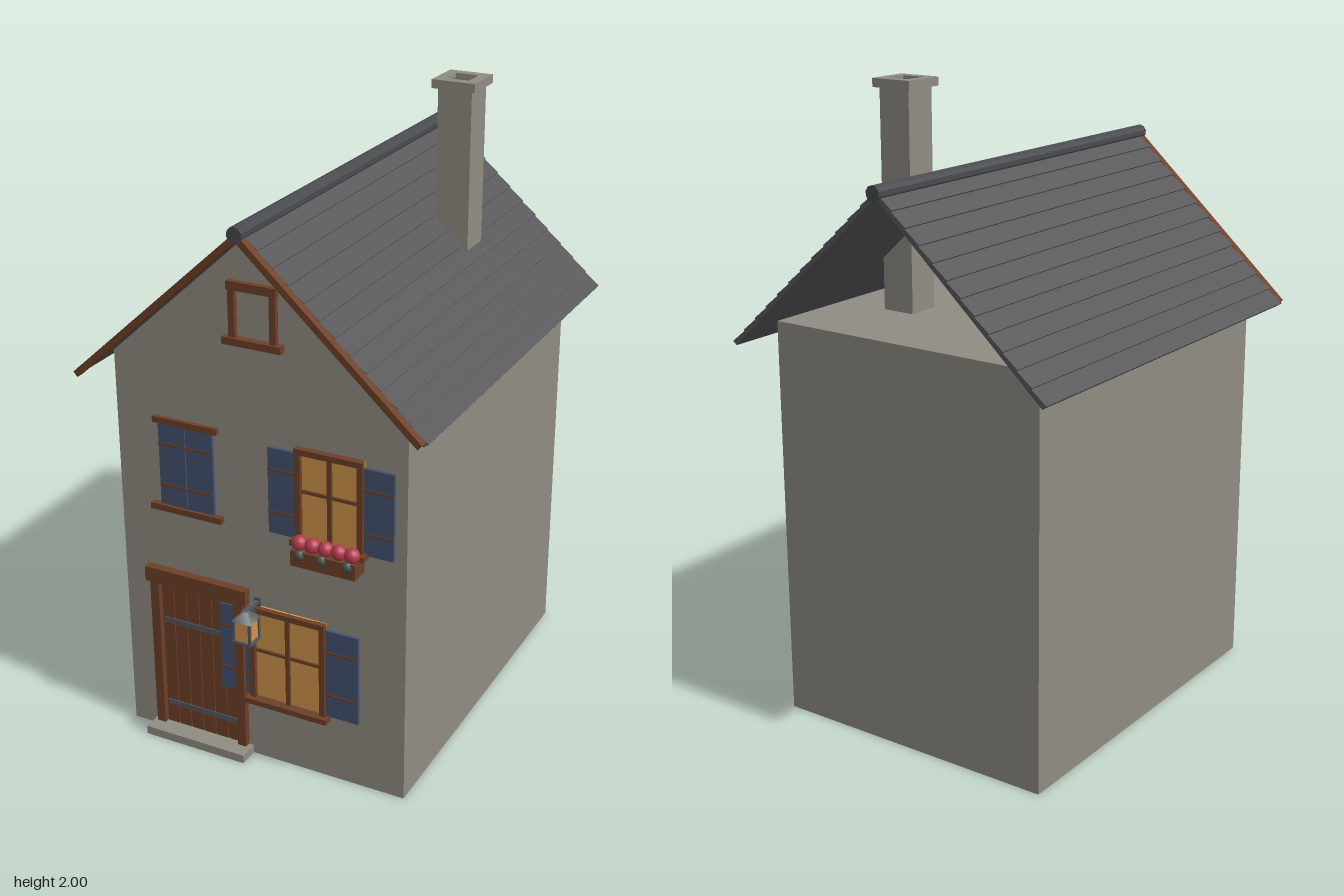
import * as THREE from 'three';

const mat = (name, color) => Object.assign(new THREE.MeshStandardMaterial({ color }), { name });
const stone = mat('stone', 0x8f8c82);
const slate = mat('slate', 0x58585b);
const wood = mat('wood', 0x6e4028);
const blue = mat('shutter blue', 0x445270);
const glow = mat('lit glass', 0xd0954a);
const metal = mat('iron', 0x55585c);
const red = mat('petal red', 0xb23a4c);
const leaf = mat('leaf', 0x4a5148);
const ridgeMat = mat('ridge slate', 0x4a4b4e);
ridgeMat.flatShading = true;

const FRONT = 0.6; // front wall plane

function add(parent, name, geo, material, x = 0, y = 0, z = 0) {
  const m = new THREE.Mesh(geo, material);
  m.name = name;
  m.position.set(x, y, z);
  parent.add(m);
  return m;
}

// Box given by its extents
function box(parent, name, material, x0, x1, y0, y1, z0, z1) {
  return add(parent, name, new THREE.BoxGeometry(x1 - x0, y1 - y0, z1 - z0), material,
    (x0 + x1) / 2, (y0 + y1) / 2, (z0 + z1) / 2);
}

// Box standing on the front wall with the given projection
const onWall = (p, name, m, x0, x1, y0, y1, depth, from = -0.005) =>
  box(p, name, m, x0, x1, y0, y1, FRONT + from, FRONT + depth);

function group(parent, name) {
  const g = new THREE.Group();
  g.name = name;
  parent.add(g);
  return g;
}

// Shutter leaf with two battens
function shutter(p, x0, x1, y0, y1) {
  onWall(p, 'shutter', blue, x0, x1, y0, y1, 0.01);
  for (const t of [0.25, 0.75]) {
    const y = y0 + (y1 - y0) * t;
    onWall(p, 'shutterBatten', wood, x0, x1, y - 0.004, y + 0.004, 0.012, 0.008);
  }
}

// Lit window: pane, frame, glazing bars and sill
function litWindow(p, name, x0, x1, y0, y1) {
  const g = group(p, name), w = 0.018, cx = (x0 + x1) / 2, cy = (y0 + y1) / 2;
  onWall(g, 'pane', glow, x0, x1, y0, y1, 0.006);
  onWall(g, 'leftStile', wood, x0, x0 + w, y0, y1, 0.02);
  onWall(g, 'rightStile', wood, x1 - w, x1, y0, y1, 0.02);
  onWall(g, 'headRail', wood, x0, x1, y1 - w, y1, 0.022);
  onWall(g, 'uprightBar', wood, cx - 0.007, cx + 0.007, y0, y1, 0.014);
  onWall(g, 'crossBar', wood, x0, x1, cy + 0.003, cy + 0.013, 0.013);
  onWall(g, 'sill', wood, x0 - 0.012, x1 + 0.012, y0 - 0.018, y0, 0.035);
  return g;
}

function buildRoof(root) {
  const roof = group(root, 'roof');
  const angle = Math.atan2(0.51, 0.56), len = 0.757, rows = 12, step = len / rows;
  for (const s of [1, -1]) {
    const side = group(roof, s > 0 ? 'leftSlope' : 'rightSlope');
    side.position.y = 1.738;
    side.rotation.z = -s * angle;
    add(side, 'roofBoard', new THREE.BoxGeometry(len, 0.01, 1.37), slate, s * len / 2, 0, -0.015);
    // Overlapping slate courses, each tipped up at its lower edge
    for (let i = 0; i < rows; i++) {
      const course = add(side, 'slateCourse', new THREE.BoxGeometry(step + 0.006, 0.006, 1.37), slate,
        s * (i + 0.5) * step, 0.007, -0.015);
      course.rotation.z = s * 0.07;
    }
    add(side, 'bargeBoard', new THREE.BoxGeometry(len - 0.006, 0.02, 0.026), wood, s * (len - 0.006) / 2, 0, 0.682);
  }
  const ridge = add(roof, 'ridgeRoll', new THREE.CylinderGeometry(0.024, 0.024, 1.41, 10), ridgeMat, 0, 1.745, -0.007);
  ridge.rotation.x = Math.PI / 2;
}

function buildChimney(root) {
  const g = group(root, 'chimney');
  box(g, 'stack', stone, 0.195, 0.305, 1.28, 1.975, -0.303, -0.193);
  const cap = new THREE.Shape();
  const rect = (path, r) => path.moveTo(-r, -r).lineTo(r, -r).lineTo(r, r).lineTo(-r, r).closePath();
  rect(cap, 0.07);
  const hole = new THREE.Path();
  rect(hole, 0.037);
  cap.holes.push(hole);
  const geo = new THREE.ExtrudeGeometry(cap, { depth: 0.027, bevelEnabled: false });
  geo.rotateX(-Math.PI / 2);
  add(g, 'cap', geo, stone, 0.25, 1.973, -0.248);
  box(g, 'flue', slate, 0.212, 0.288, 1.97, 1.985, -0.286, -0.21);
}

function buildDoor(root) {
  const g = group(root, 'door'), n = 6, x0 = -0.352, w = 0.27 / n;
  onWall(g, 'doorBacking', wood, x0, x0 + 0.27, 0.03, 0.54, 0.002);
  for (let i = 0; i < n; i++)
    onWall(g, 'plank', wood, x0 + i * w + 0.002, x0 + (i + 1) * w - 0.002, 0.03, 0.535, 0.006);
  for (const y of [0.105, 0.41]) onWall(g, 'strapHinge', metal, -0.345, -0.085, y - 0.009, y + 0.009, 0.0095);
  onWall(g, 'leftPost', wood, -0.085, -0.055, 0.03, 0.55, 0.022);
  onWall(g, 'rightPost', wood, -0.382, -0.352, 0.03, 0.55, 0.022);
  onWall(g, 'lintel', wood, -0.395, -0.04, 0.545, 0.595, 0.028);
  onWall(g, 'doorstep', stone, -0.395, -0.04, 0, 0.028, 0.065);
}

function buildLantern(root) {
  const g = group(root, 'lantern'), x = -0.01, z = 0.675;
  box(g, 'glass', glow, x - 0.026, x + 0.026, 0.472, 0.538, z - 0.026, z + 0.026);
  box(g, 'base', metal, x - 0.032, x + 0.032, 0.463, 0.472, z - 0.032, z + 0.032);
  for (const a of [-1, 1]) for (const b of [-1, 1])
    box(g, 'cornerBar', metal, x + a * 0.027 - 0.004, x + a * 0.027 + 0.004, 0.468, 0.54,
      z + b * 0.027 - 0.004, z + b * 0.027 + 0.004);
  const cap = new THREE.CylinderGeometry(0.012, 0.047, 0.028, 4);
  cap.rotateY(Math.PI / 4);
  add(g, 'lanternCap', cap, metal, x, 0.552, z);
  box(g, 'arm', metal, x - 0.005, x + 0.005, 0.556, 0.566, FRONT, z);
  box(g, 'wallPlate', metal, x - 0.01, x + 0.01, 0.5, 0.575, FRONT - 0.002, FRONT + 0.008);
  const brace = add(g, 'brace', new THREE.BoxGeometry(0.006, 0.006, 0.062), metal, x, 0.537, 0.624);
  brace.rotation.x = -0.75;
}

export function createModel() {
  const root = new THREE.Group();
  root.name = 'house';

  // Walls and front gable; the attic is open at the back
  box(root, 'walls', stone, -0.48, 0.48, 0, 1.29, -FRONT, FRONT);
  const tri = new THREE.Shape();
  tri.moveTo(-0.48, 1.29).lineTo(0.48, 1.29).lineTo(0, 1.729).closePath();
  add(root, 'frontGable', new THREE.ExtrudeGeometry(tri, { depth: 0.03, bevelEnabled: false }), stone, 0, 0, FRONT - 0.03);

  buildRoof(root);
  buildChimney(root);
  buildDoor(root);
  buildLantern(root);

  // Ground floor window
  const lower = litWindow(root, 'lowerWindow', -0.035, 0.222, 0.225, 0.545);
  shutter(lower, -0.142, -0.035, 0.225, 0.525);
  shutter(lower, 0.222, 0.33, 0.225, 0.525);

  // Upper window with flower box
  const upper = litWindow(root, 'upperWindow', 0.13, 0.348, 0.818, 1.108);
  shutter(upper, 0.038, 0.13, 0.812, 1.088);
  shutter(upper, 0.348, 0.442, 0.812, 1.088);
  const planter = group(root, 'flowerBox');
  onWall(planter, 'planter', wood, 0.135, 0.345, 0.75, 0.8, 0.06);
  for (let i = 0; i < 5; i++)
    add(planter, 'flower', new THREE.SphereGeometry(0.024, 14, 10), red, 0.155 + i * 0.0425, 0.818, 0.638);
  for (const x of [0.163, 0.235, 0.318])
    add(planter, 'foliage', new THREE.SphereGeometry(0.018, 12, 8), leaf, x, 0.787, 0.652);

  // Shuttered window
  const closed = group(root, 'shutteredWindow');
  shutter(closed, -0.333, -0.242, 0.818, 1.09);
  shutter(closed, -0.239, -0.148, 0.818, 1.09);
  onWall(closed, 'head', wood, -0.35, -0.13, 1.088, 1.108, 0.014);
  onWall(closed, 'sill', wood, -0.365, -0.12, 0.8, 0.82, 0.02);

  // Blind attic window
  const attic = group(root, 'atticWindow');
  for (const s of [-1, 1]) onWall(attic, 'stile', wood, s * 0.066 - 0.01, s * 0.066 + 0.01, 1.4, 1.57, 0.016);
  onWall(attic, 'head', wood, -0.08, 0.08, 1.552, 1.578, 0.018);
  onWall(attic, 'sill', wood, -0.095, 0.095, 1.388, 1.41, 0.024);

  return root;
}
